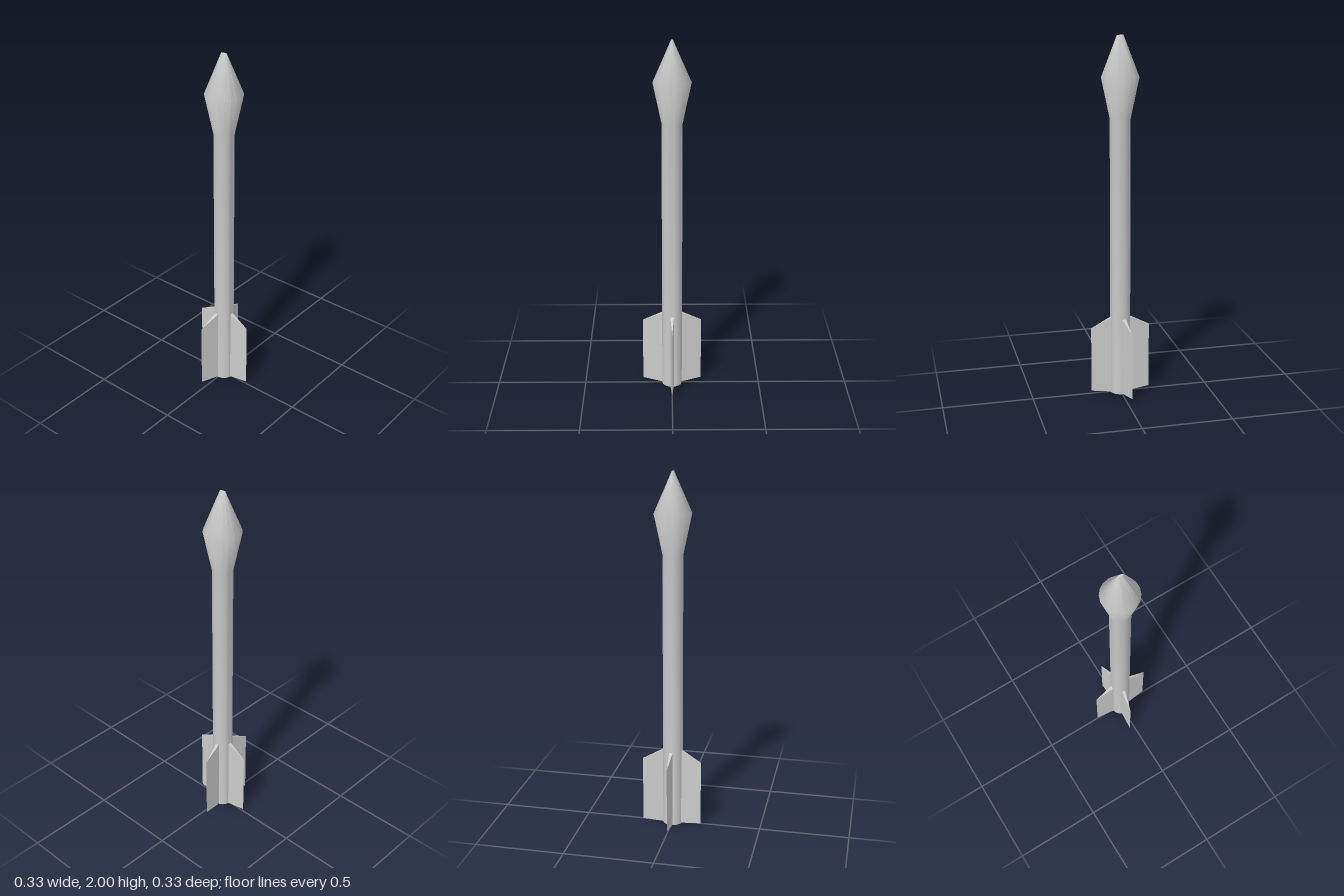
import * as THREE from 'three';
import { toCreasedNormals } from 'three/addons/utils/BufferGeometryUtils.js';

const SIDES = 18;
const ROOT = 0.045, SPAN = 0.166; // fin root (sunk in the tube) and outer edge

export function createModel() {
  const model = new THREE.Group();
  model.name = 'finnedRocket';
  const material = new THREE.MeshStandardMaterial({ color: 0xcccccc });

  const add = (name, geometry) => {
    const mesh = new THREE.Mesh(geometry, material);
    mesh.name = name;
    model.add(mesh);
  };

  // Tube and flared warhead, turned as one profile
  const profile = [[0, 0], [0.056, 0], [0.056, 1.56], [0.102, 1.78], [0.018, 2], [0, 2]]
    .map(([r, y]) => new THREE.Vector2(r, y));
  const body = new THREE.LatheGeometry(profile, SIDES, Math.PI / 2);
  // Pinch the blunt tip into a narrow oval
  const bp = body.attributes.position;
  for (let i = 0; i < bp.count; i++) {
    if (bp.getY(i) > 1.99) bp.setX(i, bp.getX(i) * 0.33);
  }
  add('bodyAndWarhead', toCreasedNormals(body, 0.75));

  // Wedge-shaped fin: triangular in plan, with sloped top and bottom edges
  const makeFin = (name, angle, skew) => {
    const rootMid = skew * 0.27;
    const plan = new THREE.Shape([
      new THREE.Vector2(ROOT, rootMid - 0.011),
      new THREE.Vector2(SPAN, skew),
      new THREE.Vector2(ROOT, rootMid + 0.011),
    ]);
    const fin = new THREE.ExtrudeGeometry(plan, { depth: 1, bevelEnabled: false });
    fin.rotateX(-Math.PI / 2);
    const p = fin.attributes.position;
    for (let i = 0; i < p.count; i++) {
      const outer = p.getX(i) > 0.1;
      const top = p.getY(i) > 0.5;
      p.setY(i, top ? (outer ? 0.39 : 0.45) : (outer ? 0.015 : 0.002));
    }
    fin.computeVertexNormals();
    fin.rotateY(angle);
    add(name, fin);
  };

  // The side fins lean towards the back
  makeFin('leftFin', 0, 0.03);
  makeFin('rightFin', Math.PI, -0.03);
  makeFin('frontFin', -Math.PI / 2, 0);
  makeFin('backFin', Math.PI / 2, 0);

  return model;
}
